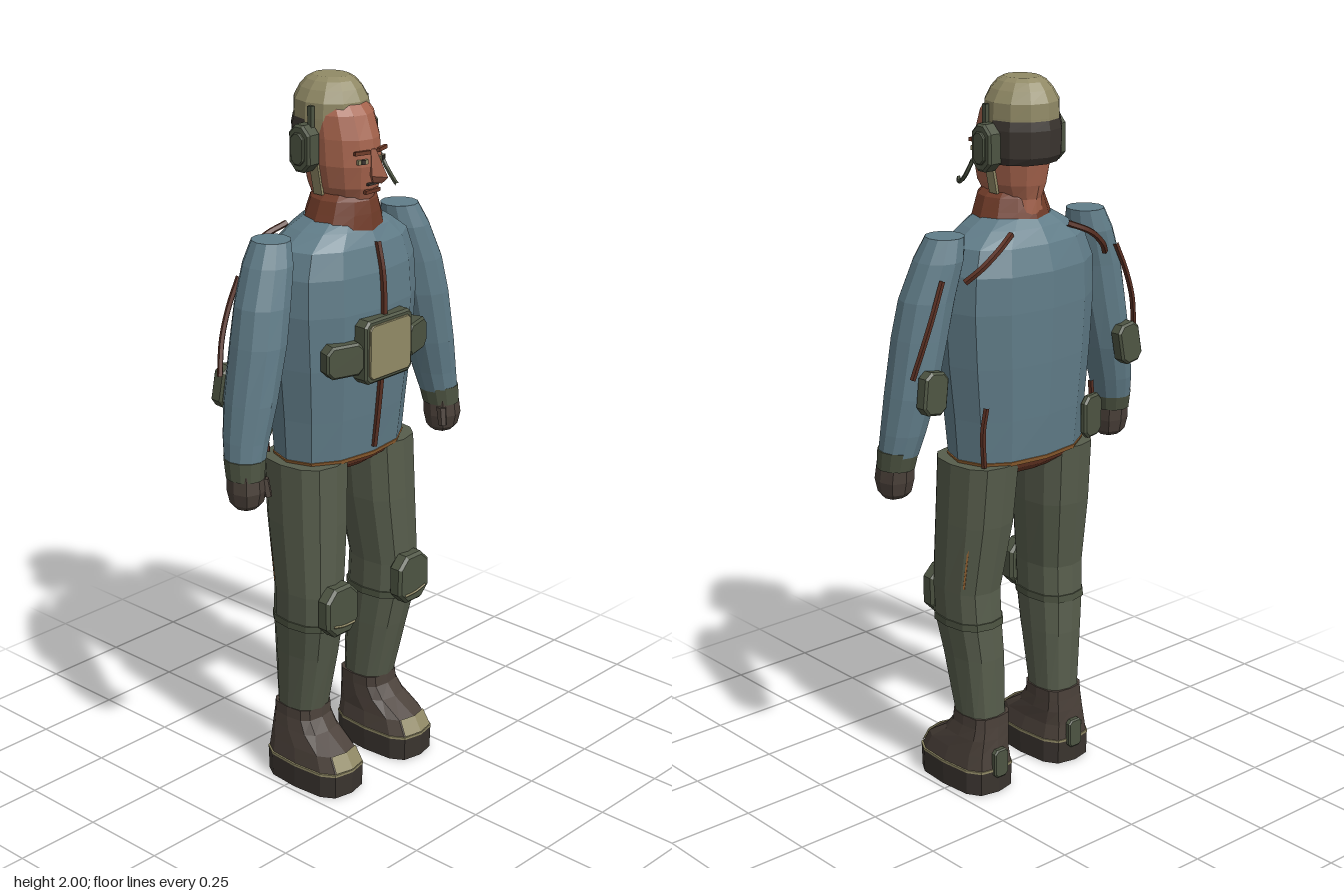
import * as THREE from 'three';

const mat = (name, color, side = THREE.FrontSide) => {
  const m = new THREE.MeshStandardMaterial({ color, side });
  m.name = name;
  return m;
};

// Loft through horizontal oval rings [x, y, z, halfWidth, halfDepth]; flat faceted.
// p squares the oval off; from/to (in segments) cut out an arc, left uncapped.
function loft(rings, { n = 12, p = 2, from = 0, to = n } = {}) {
  rings = [...rings].sort((a, b) => a[1] - b[1]);
  const pow = v => Math.sign(v) * Math.pow(Math.abs(v), 2 / p);
  const pt = (r, i) => {
    const t = (i / n) * Math.PI * 2;
    return [r[0] + r[3] * pow(Math.sin(t)), r[1], r[2] + r[4] * pow(Math.cos(t))];
  };
  const pos = [];
  const tri = (...ps) => ps.forEach(q => pos.push(...q));
  const bottom = rings[0], top = rings[rings.length - 1];
  for (let i = from; i < to; i++) {
    for (let j = 0; j + 1 < rings.length; j++) {
      const a = pt(rings[j], i), b = pt(rings[j], i + 1);
      const c = pt(rings[j + 1], i + 1), d = pt(rings[j + 1], i);
      tri(a, b, c);
      tri(a, c, d);
    }
    if (to - from === n) {
      tri(top.slice(0, 3), pt(top, i), pt(top, i + 1));
      tri(bottom.slice(0, 3), pt(bottom, i + 1), pt(bottom, i));
    }
  }
  const g = new THREE.BufferGeometry();
  g.setAttribute('position', new THREE.Float32BufferAttribute(pos, 3));
  g.computeVertexNormals();
  return g;
}

// Plate with cut corners and a bevelled rim, centred on the origin
function pad(w, h, d, c = 0.015, b = 0.006) {
  const x = w / 2 - b, y = h / 2 - b;
  const shape = new THREE.Shape([[x - c, -y], [x, c - y], [x, y - c], [x - c, y],
    [c - x, y], [-x, y - c], [-x, c - y], [c - x, -y]].map(q => new THREE.Vector2(...q)));
  return new THREE.ExtrudeGeometry(shape, { depth: d - 2 * b, bevelSize: b, bevelThickness: b, bevelSegments: 1 })
    .translate(0, 0, b - d / 2);
}

function cable(points, r = 0.008) {
  const curve = new THREE.CatmullRomCurve3(points.map(q => new THREE.Vector3(...q)));
  return new THREE.TubeGeometry(curve, points.length * 4, r, 5).toNonIndexed();
}

export function createModel() {
  const model = new THREE.Group();
  const jacket = mat('blue jacket', 0x617d89), trousers = mat('olive trousers', 0x575d4c);
  const gear = mat('dark olive gear', 0x4d5442), tan = mat('tan', 0x918a66, THREE.DoubleSide);
  const skin = mat('skin', 0xa5634c), brown = mat('red brown', 0x713c29);
  const boot = mat('dark brown leather', 0x4a4039), dark = mat('dark rubber', 0x3a342f, THREE.DoubleSide);
  const orange = mat('orange trim', 0x9a6634, THREE.DoubleSide), cord = mat('cord', 0x5a3023);

  const add = (name, geo, material, pos = [0, 0, 0], rot = [0, 0, 0]) => {
    if (geo.index) geo = geo.toNonIndexed();
    geo.computeVertexNormals();
    const m = new THREE.Mesh(geo, material);
    m.name = name;
    m.position.set(...pos);
    m.rotation.set(...rot);
    model.add(m);
    return m;
  };
  const box = (w, h, d) => new THREE.BoxGeometry(w, h, d);

  // Jacket body, hem and zip
  add('jacketBody', loft([[0, 0.98, -0.02, 0.207, 0.128], [0, 1.1, -0.018, 0.215, 0.14],
    [0, 1.25, -0.015, 0.23, 0.152], [0, 1.4, -0.015, 0.24, 0.157], [0, 1.5, -0.017, 0.235, 0.153],
    [0, 1.57, -0.015, 0.21, 0.135], [0, 1.61, -0.012, 0.15, 0.112], [0, 1.635, -0.01, 0.105, 0.092]],
    { p: 2.3 }), jacket);
  add('hem', loft([[0, 0.98, -0.02, 0.2, 0.123], [0, 0.955, -0.02, 0.18, 0.11], [0, 0.93, -0.02, 0.13, 0.075]],
    { p: 2.3 }), brown);
  add('hemTrim', loft([[0, 0.972, -0.02, 0.205, 0.128], [0, 0.984, -0.02, 0.211, 0.132]], { p: 2.3 }), orange);
  add('zip', cable([[0, 1.0, 0.112], [0, 1.1, 0.125], [0, 1.25, 0.14], [0, 1.4, 0.146], [0, 1.5, 0.14],
    [0, 1.58, 0.122]], 0.009), cord);
  add('collar', loft([[0, 1.605, -0.005, 0.12, 0.108], [0, 1.65, -0.002, 0.103, 0.1],
    [0, 1.685, 0, 0.09, 0.092], [0, 1.7, 0, 0.07, 0.08]]), brown);

  // Chest unit
  add('chestBox', pad(0.187, 0.177, 0.05, 0.012), gear, [-0.001, 1.297, 0.142]);
  add('chestPanel', pad(0.162, 0.15, 0.009, 0.01, 0.002), tan, [-0.001, 1.297, 0.168]);

  // Head
  add('head', loft([[0, 1.6, -0.02, 0.075, 0.085], [0, 1.682, -0.008, 0.06, 0.095],
    [0, 1.72, -0.005, 0.08, 0.108], [0, 1.78, -0.006, 0.092, 0.116], [0, 1.85, -0.01, 0.092, 0.112],
    [0, 1.91, -0.02, 0.088, 0.1], [0, 1.96, -0.035, 0.065, 0.07]], { n: 14 }), skin);
  add('nose', loft([[0, 1.738, 0.115, 0.012, 0.02], [0, 1.757, 0.118, 0.02, 0.038],
    [0, 1.825, 0.102, 0.007, 0.012]], { n: 4 }), skin);
  add('mouth', box(0.055, 0.01, 0.009), brown, [0, 1.712, 0.1], [0.1, 0, 0]);
  add('upperLip', box(0.046, 0.006, 0.009), dark, [0, 1.733, 0.105]);

  // Cap with a dark band round the back
  const capZ = -0.045;
  add('cap', loft([[0, 1.895, capZ, 0.1, 0.104], [0, 1.94, capZ, 0.098, 0.103],
    [0, 1.97, capZ, 0.08, 0.088], [0, 1.99, capZ, 0.062, 0.07], [0, 2.0, capZ, 0.045, 0.052]]), tan);
  add('capSides', loft([[0, 1.79, capZ, 0.098, 0.098], [0, 1.9, capZ, 0.1, 0.104]], { from: 2, to: 10 }), tan);
  add('capBand', loft([[0, 1.78, capZ, 0.1, 0.095], [0, 1.8, capZ, 0.106, 0.108],
    [0, 1.87, capZ, 0.107, 0.11], [0, 1.895, capZ, 0.101, 0.105]], { from: 3, to: 9 }), dark);

  for (const s of [1, -1]) {
    const x = (...pts) => pts.map(([a, ...r]) => [a * s, ...r]);
    const side = s > 0 ? 'left' : 'right';
    const put = (name, geo, m, pos, rot) => add(side + name, geo, m, pos && x(pos)[0], rot);

    // Eyes and brows
    put('Brow', box(0.046, 0.01, 0.009), brown, [0.038, 1.819, 0.1], [0, 0.3 * s, 0]);
    put('Eye', box(0.03, 0.012, 0.009), tan, [0.037, 1.795, 0.1], [0, 0.3 * s, 0]);
    put('Pupil', box(0.012, 0.012, 0.009), dark, [0.037, 1.795, 0.102], [0, 0.3 * s, 0]);

    // Ear cup, its stalk and the chin strap
    put('EarCup', pad(0.075, 0.125, 0.045, 0.02), gear, [0.114, 1.825, -0.035], [0, Math.PI / 2, 0]);
    put('EarCupCover', pad(0.045, 0.085, 0.012, 0.012, 0.003), gear, [0.138, 1.825, -0.035], [0, Math.PI / 2, 0]);
    put('EarStalk', box(0.012, 0.06, 0.014), gear, [0.104, 1.905, -0.02]);
    put('ChinStrap', box(0.008, 0.1, 0.03), tan, [0.085, 1.745, -0.02], [0, 0, -0.2 * s]);

    // Sleeve, cuff and glove
    put('Sleeve', loft(x([0.25, 1.61, -0.025, 0.052, 0.054], [0.268, 1.55, -0.02, 0.067, 0.07],
      [0.3, 1.45, -0.01, 0.075, 0.077], [0.322, 1.35, -0.005, 0.074, 0.08], [0.355, 1.2, -0.004, 0.067, 0.077],
      [0.378, 1.1, 0, 0.059, 0.066], [0.39, 1.04, 0.006, 0.053, 0.058])), jacket);
    put('Cuff', loft(x([0.39, 1.052, 0.006, 0.055, 0.06], [0.395, 1.0, 0.012, 0.05, 0.055])), gear);
    put('Glove', loft(x([0.394, 1.015, 0.014, 0.046, 0.048], [0.396, 0.965, 0.018, 0.049, 0.05],
      [0.396, 0.93, 0.018, 0.042, 0.042], [0.396, 0.917, 0.018, 0.032, 0.03]), { n: 8, p: 2.5 }), boot);
    put('Thumb', loft(x([0.36, 0.995, 0.045, 0.014, 0.016], [0.355, 0.945, 0.055, 0.012, 0.013]), { n: 6 }), boot);

    // Pouches and cords
    put('ChestPouch', pad(0.115, 0.09, 0.045), gear, [0.137, 1.285, 0.122], [0, 0.3 * s, 0]);
    put('SleevePocket', pad(0.078, 0.115, 0.04), gear, [0.352, 1.22, -0.092], [0.05, 0, 0.15 * s]);
    put('ShoulderCord', cable(x([0.1, 1.605, -0.115], [0.165, 1.575, -0.138], [0.215, 1.535, -0.13],
      [0.25, 1.5, -0.105]), 0.009), cord);
    put('SleeveCord', cable(x([0.31, 1.51, -0.085], [0.345, 1.43, -0.09], [0.375, 1.35, -0.086],
      [0.4, 1.26, -0.07])), cord);
    put('HipCord', cable(x([0.19, 1.15, -0.118], [0.198, 1.08, -0.113], [0.19, 0.98, -0.108])), cord);

    // Trouser leg with side piping
    put('Leg', loft(x([0.138, 0.19, -0.032, 0.062, 0.067], [0.145, 0.4, -0.008, 0.072, 0.092],
      [0.152, 0.5, 0.005, 0.078, 0.1], [0.154, 0.6, 0.01, 0.08, 0.1], [0.141, 0.8, -0.008, 0.093, 0.113],
      [0.135, 0.975, -0.018, 0.096, 0.118]), { p: 2.5 }), trousers);
    put('Piping', cable(x([0.21, 0.87, -0.085], [0.215, 0.75, -0.072], [0.219, 0.62, -0.055]), 0.004), orange);

    // Knee pad, strap and stitching
    put('KneeStrap', loft(x([0.152, 0.495, 0.005, 0.082, 0.104], [0.152, 0.515, 0.006, 0.082, 0.104]),
      { p: 2.5 }), gear);
    put('KneePad', pad(0.125, 0.145, 0.045, 0.028, 0.008), gear, [0.148, 0.56, 0.115]);
    put('KneeStitch', cable(x([0.105, 0.515, 0.138], [0.15, 0.516, 0.138], [0.19, 0.525, 0.138]), 0.004), tan);

    // Boot
    put('Sole', loft(x([0.147, 0, 0.025, 0.086, 0.142], [0.147, 0.068, 0.025, 0.087, 0.144]), { p: 3.2 }), dark);
    put('Welt', loft(x([0.147, 0.067, 0.025, 0.088, 0.145], [0.147, 0.074, 0.025, 0.088, 0.145]), { p: 3.2 }), tan);
    const toe = x([0.146, 0.074, 0.024, 0.084, 0.141], [0.146, 0.118, 0.014, 0.076, 0.126]);
    put('Boot', loft([...toe, ...x([0.142, 0.16, -0.018, 0.071, 0.09], [0.139, 0.195, -0.03, 0.067, 0.075],
      [0.138, 0.225, -0.031, 0.066, 0.073])], { p: 3.2 }), boot);
    put('ToePatch', loft(toe.map(([a, b, c, w, d]) => [a, b + 0.003, c, w, d + 0.005]),
      { p: 3.2, from: -1, to: 1 }), tan);
    put('HeelBlock', pad(0.05, 0.085, 0.02, 0.008, 0.004), gear, [0.142, 0.09, -0.115]);
  }

  // Pouch on the back of the right hip
  add('hipPouch', pad(0.08, 0.12, 0.022), gear, [-0.165, 1.06, -0.147], [0, 0.2, 0]);

  // Microphone boom on the left ear cup
  add('microphoneBoom', cable([[0.13, 1.79, 0], [0.134, 1.74, 0.03], [0.11, 1.715, 0.08], [0.08, 1.715, 0.118]], 0.006), gear);

  return model;
}
